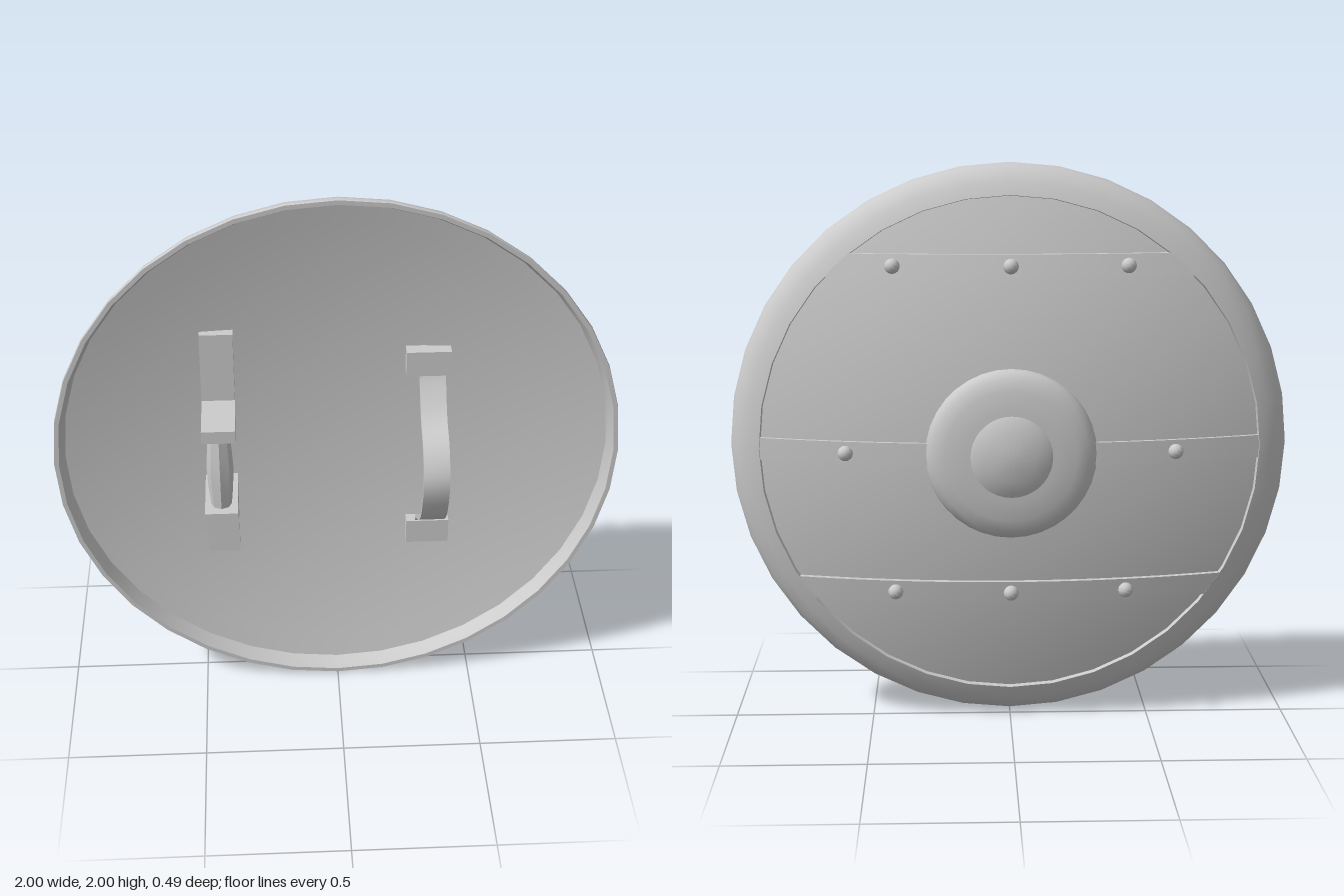
import * as THREE from 'three';
import { toCreasedNormals } from 'three/addons/utils/BufferGeometryUtils.js';

const CENTRE_Y = 1;

// Depth of the domed back and of the shallower hollow front at a distance r from the middle.
const domeZ = (r) => -0.157 + 0.18 * r * r;
const hollowZ = (r) => -0.07 + 0.1 * r * r;

export function createModel() {
  const model = new THREE.Group();
  const material = new THREE.MeshStandardMaterial({ color: 0xcccccc });

  function add(name, geometry, x = 0, y = 0, z = 0, parent = model) {
    const mesh = new THREE.Mesh(geometry, material);
    mesh.name = name;
    mesh.position.set(x, y, z);
    parent.add(mesh);
    return mesh;
  }

  // Turns a profile of [radius, z] round the z axis.
  function turned(profile) {
    const geometry = new THREE.LatheGeometry(
      profile.map(([r, z]) => new THREE.Vector2(r, -z)), 36);
    geometry.rotateX(-Math.PI / 2);
    return toCreasedNormals(geometry, 0.6);
  }

  // Dished board: hollow front and domed back
  const steps = 12;
  const radii = Array.from({ length: steps + 1 }, (_, i) => 0.97 * i / steps);
  const board = [
    ...radii.map((r) => [r, hollowZ(r)]),
    ...radii.reverse().map((r) => [r, domeZ(r)]),
  ];
  add('board', turned(board), 0, CENTRE_Y);

  // Rounded rim wrapped over the board's edge
  add('rim', turned([
    [0.962, 0.015], [0.968, 0.05], [0.982, 0.079], [0.998, 0.079], [1, 0.068],
    [0.991, 0.038], [0.97, 0.008], [0.935, -0.019], [0.89, -0.038], [0.886, -0.005],
  ]), 0, CENTRE_Y);

  // Boss: rounded ring with a small dome in the middle
  add('boss', turned([
    [0.295, -0.11], [0.3, -0.15], [0.293, -0.168], [0.27, -0.187],
    [0.23, -0.199], [0.16, -0.207], [0, -0.208],
  ]), 0, CENTRE_Y);
  add('bossDome', turned([
    [0.143, -0.19], [0.143, -0.21], [0.125, -0.22], [0.085, -0.232], [0.04, -0.24], [0, -0.243],
  ]), 0, CENTRE_Y);

  // Bands bent over the dome, each with its rivets
  function band(name, y, lift, rivetXs) {
    const group = new THREE.Group();
    group.name = name;
    group.position.y = CENTRE_Y;
    model.add(group);

    const geometry = new THREE.BoxGeometry(2, 0.08, 0.04, 24, 2, 1);
    const p = geometry.attributes.position;
    for (let i = 0; i < p.count; i++) {
      const py = p.getY(i) + y;
      const px = p.getX(i) * Math.sqrt(0.89 ** 2 - py * py);
      const dome = domeZ(Math.hypot(px, py));
      p.setXYZ(i, px, py, p.getZ(i) < 0 ? dome - lift : dome + 0.01);
    }
    add('band', toCreasedNormals(geometry, 0.6), 0, 0, 0, group);
    for (const x of rivetXs) {
      add('rivet', new THREE.SphereGeometry(0.027, 12, 8),
        x, y, domeZ(Math.hypot(x, y)) - lift - 0.008, group);
    }
  }
  band('upperBand', 0.65, 0.025, [-0.41, 0, 0.41]);
  band('middleBand', 0, 0.016, [-0.58, 0.58]);
  band('lowerBand', -0.505, 0.022, [-0.41, 0, 0.41]);

  // Hand grip: two angled brackets holding a barrel-shaped bar
  const grip = new THREE.Group();
  grip.name = 'handGrip';
  grip.position.set(-0.416, 1.003, 0);
  model.add(grip);
  for (const side of [1, -1]) {
    add('bracketPlate', new THREE.BoxGeometry(0.116, 0.29, 0.05), 0, side * 0.315, -0.025, grip);
    add('bracketArm', new THREE.BoxGeometry(0.116, 0.048, 0.25), 0, side * 0.172, 0.076, grip);
  }
  const bar = new THREE.LatheGeometry(
    [[0.036, -0.155], [0.043, -0.08], [0.047, 0], [0.043, 0.08], [0.036, 0.155]]
      .map(([r, y]) => new THREE.Vector2(r, y)), 8);
  add('gripBar', toCreasedNormals(bar, 0.5), 0, 0, 0.135, grip);

  // Arm strap: thin ribbon following a curve of (z, y)
  const path = new THREE.SplineCurve([
    [-0.02, 1.32], [0.005, 1.25], [0.08, 1.15], [0.187, 1.085], [0.237, 0.97],
    [0.184, 0.82], [0.085, 0.727], [0, 0.675], [-0.03, 0.62],
  ].map(([z, y]) => new THREE.Vector2(z, y)));
  const count = 28;
  const edges = [[], []];
  for (let i = 0; i <= count; i++) {
    const point = path.getPoint(i / count);
    const t = path.getTangent(i / count);
    const normal = new THREE.Vector2(-t.y, t.x).multiplyScalar(0.006);
    edges[0].push(point.clone().add(normal));
    edges[1].unshift(point.clone().sub(normal));
  }
  const strap = new THREE.ExtrudeGeometry(new THREE.Shape(edges.flat()),
    { depth: 0.092, bevelEnabled: false });
  strap.rotateY(-Math.PI / 2);
  add('armStrap', toCreasedNormals(strap, 0.6), 0.382);

  // Blocks that pin the strap to the board
  add('upperStrapMount', new THREE.BoxGeometry(0.156, 0.096, 0.05), 0.321, 1.327, -0.022);
  add('lowerStrapMount', new THREE.BoxGeometry(0.156, 0.096, 0.05), 0.335, 0.6, -0.03);

  return model;
}
